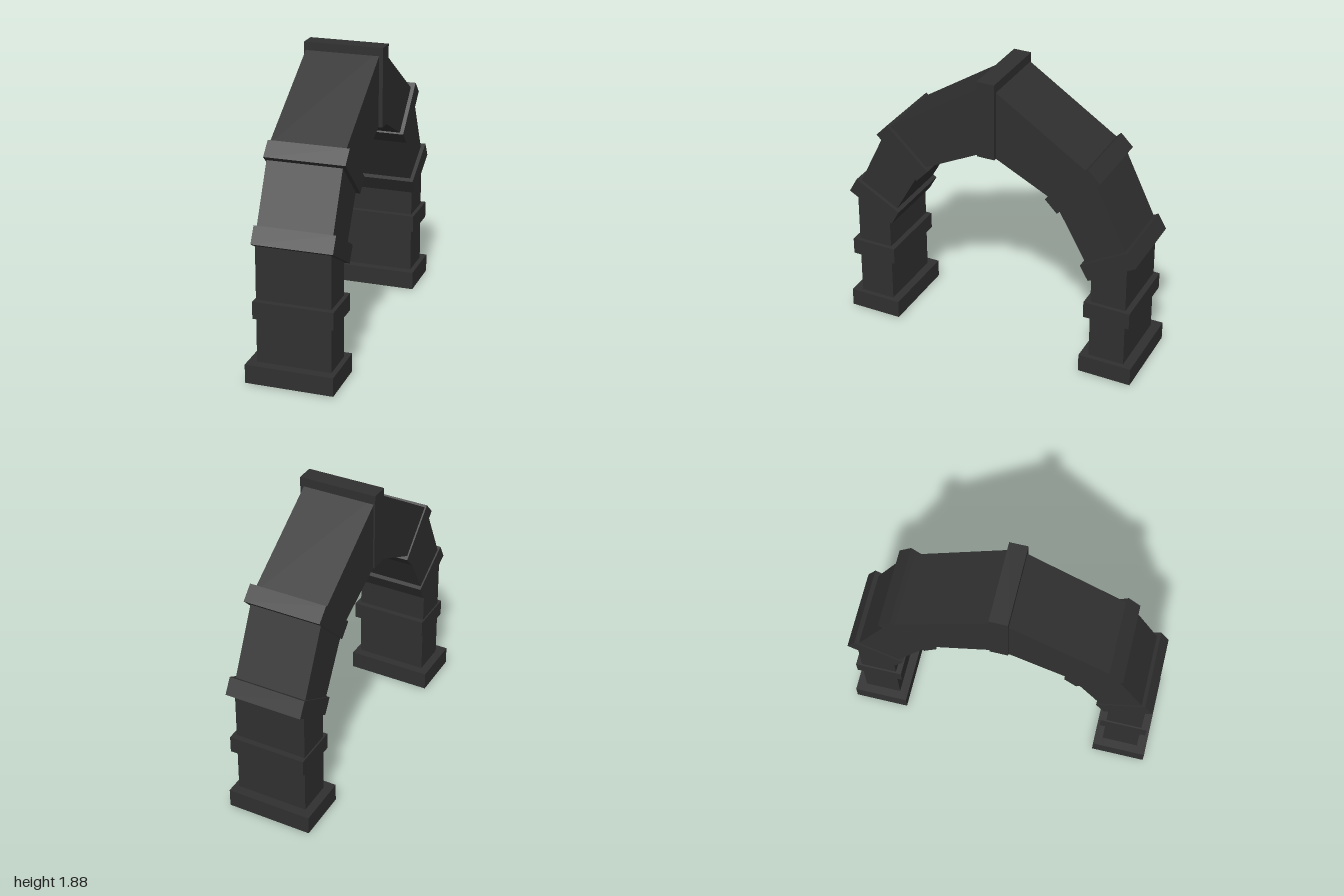
import * as THREE from 'three';

export function createModel() {
  const group = new THREE.Group();
  group.name = 'archway';
  const stone = new THREE.MeshStandardMaterial({ color: 0x303030 });
  stone.name = 'dark stone';

  // Arch body: one profile extruded across the width
  const half = [[0.94, 0], [0.933, 0.91], [0.69, 1.41]];
  const inner = [[0.705, 0], [0.705, 0.73], [0.45, 1.18]];
  const mirror = (pts) => pts.map(([z, y]) => [-z, y]);
  const outline = [
    ...half, [0, 1.857], ...mirror(half).reverse(),
    ...mirror(inner), [0, 1.403], ...inner.slice().reverse(),
  ];
  const shape = new THREE.Shape(outline.map(([z, y]) => new THREE.Vector2(-z, y)));
  const bodyGeometry = new THREE.ExtrudeGeometry(shape, { depth: 0.47, bevelEnabled: false });
  bodyGeometry.rotateY(Math.PI / 2);
  bodyGeometry.translate(-0.225, 0, 0);
  const body = new THREE.Mesh(bodyGeometry, stone);
  body.name = 'archBody';
  group.add(body);

  // Blocks wrapped around the body, tilted about x
  function block(name, x0, x1, y, z, height, depth, degrees = 0) {
    const mesh = new THREE.Mesh(new THREE.BoxGeometry(x1 - x0, height, depth), stone);
    mesh.name = name;
    mesh.position.set((x0 + x1) / 2, y, z);
    mesh.rotation.x = THREE.MathUtils.degToRad(degrees);
    group.add(mesh);
  }
  const band = (name, ...rest) => block(name, -0.235, 0.27, ...rest);

  for (const [side, s] of [['front', 1], ['back', -1]]) {
    block(side + 'Base', -0.28, 0.277, 0.066, s * 0.825, 0.12, 0.35);
    band(side + 'LowerBand', 0.475, s * 0.821, 0.11, 0.304);
  }

  // Tilted bands at the bends
  band('frontMiddleBand', 0.858, 0.80, 0.113, 0.345, -29.5);
  band('backMiddleBand', 0.828, -0.817, 0.11, 0.35, 30);
  band('frontUpperBand', 1.265, 0.58, 0.112, 0.38, -43.5);
  band('backUpperBand', 1.289, -0.575, 0.112, 0.386, 45);

  // Keystone at the crown
  band('keystone', 1.625, -0.004, 0.5, 0.115);

  return group;
}
